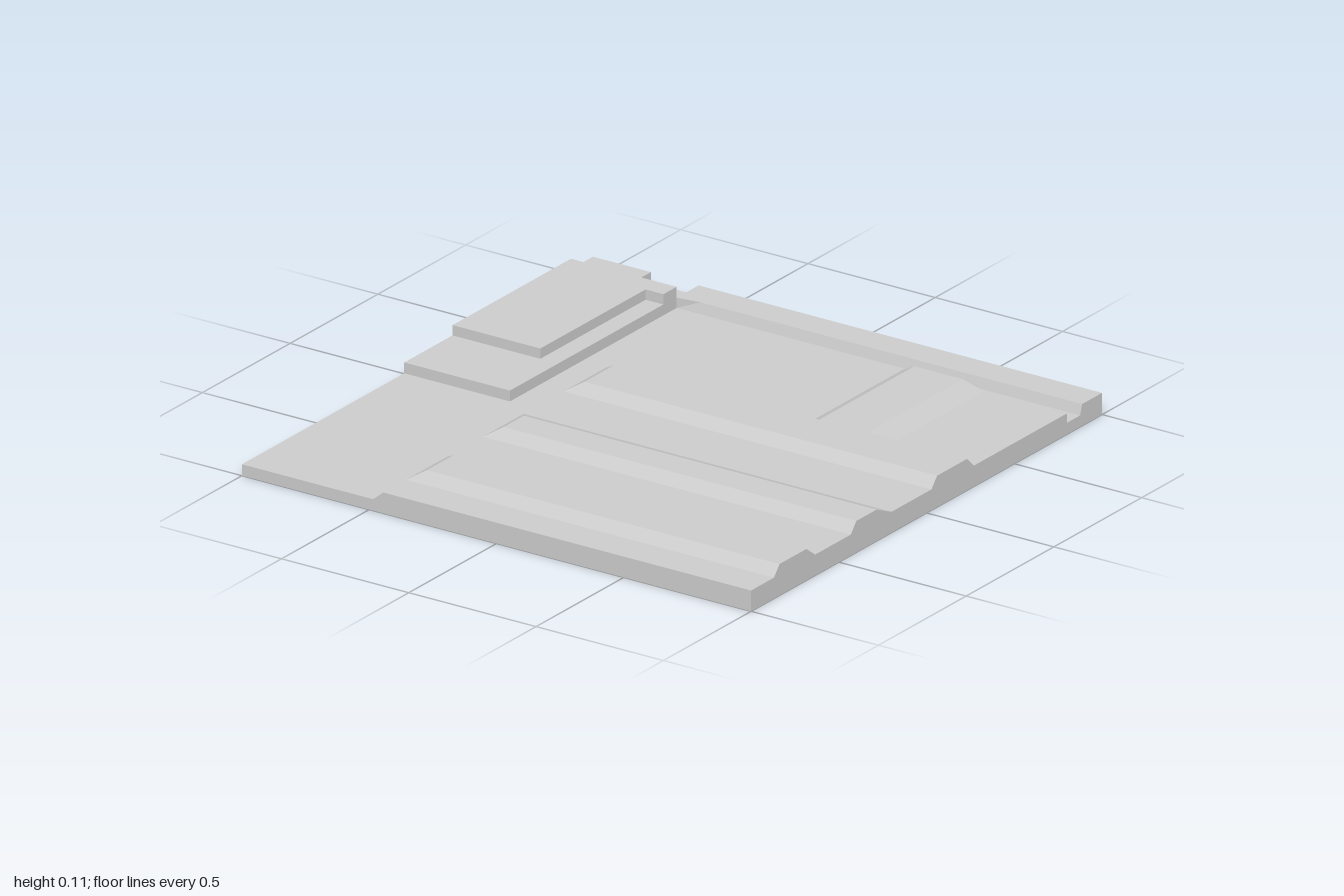
import * as THREE from 'three';

const material = new THREE.MeshStandardMaterial({ color: 0xcccccc, flatShading: true });

// Solid between a lower outline and a matching upper outline, both lists of [x, z].
function loft(name, lower, upper, y0, y1, closeBottom = false) {
  const area = THREE.ShapeUtils.area(lower.map(([x, z]) => new THREE.Vector2(x, -z)));
  const lo = area < 0 ? [...lower].reverse() : lower;
  const up = area < 0 ? [...upper].reverse() : upper;
  const pos = [];
  const put = (p, y) => pos.push(p[0], y, p[1]);
  const flat = (list) => list.map(([x, z]) => new THREE.Vector2(x, -z));

  for (const [a, b, c] of THREE.ShapeUtils.triangulateShape(flat(up), [])) {
    put(up[a], y1); put(up[b], y1); put(up[c], y1);
  }
  if (closeBottom) {
    for (const [a, b, c] of THREE.ShapeUtils.triangulateShape(flat(lo), [])) {
      put(lo[a], y0); put(lo[c], y0); put(lo[b], y0);
    }
  }
  for (let i = 0; i < lo.length; i++) {
    const j = (i + 1) % lo.length;
    put(lo[i], y0); put(lo[j], y0); put(up[j], y1);
    put(lo[i], y0); put(up[j], y1); put(up[i], y1);
  }
  const geometry = new THREE.BufferGeometry();
  geometry.setAttribute('position', new THREE.Float32BufferAttribute(pos, 3));
  geometry.computeVertexNormals();
  const mesh = new THREE.Mesh(geometry, material);
  mesh.name = name;
  return mesh;
}

const rect = (x0, x1, z0, z1) => [[x0, z0], [x0, z1], [x1, z1], [x1, z0]];

export function createModel() {
  const model = new THREE.Group();
  model.name = 'panel';
  const FLOOR = 0.04, DECK = 0.073, RIDGE = 0.11, PLATE = 0.078, TOP = 0.114;

  // Base slab
  const slab = rect(-1, 1, -1, 1);
  model.add(loft('baseSlab', slab, slab, 0, FLOOR, true));

  // Raised deck with a sloped edge along its -x side
  model.add(loft('deck', rect(-0.485, 1, -0.8, 1), rect(-0.445, 1, -0.8, 1), FLOOR, DECK));

  // Straight ridges: [back foot, back crest, front crest, front foot]
  const ridges = [[0.2, 0.285, 0.4, 0.432], [0.635, 0.685, 0.838, 0.87]];
  for (const [b0, b1, f1, f0] of ridges) {
    model.add(loft('ridge', rect(-0.445, 1, b0, f0), rect(-0.385, 1, b1, f1), DECK, RIDGE));
  }

  // Rear ridge with a branch running back across the deck
  model.add(loft('branchedRidge',
    [[-0.445, -0.27], [-0.445, -0.028], [1, -0.028], [1, -0.27],
      [0.675, -0.27], [0.675, -0.8], [0.355, -0.8], [0.355, -0.27]],
    [[-0.385, -0.23], [-0.385, -0.06], [1, -0.06], [1, -0.23],
      [0.61, -0.23], [0.61, -0.772], [0.42, -0.772], [0.42, -0.23]],
    DECK, RIDGE));

  // Strip behind the groove, with a narrow bevel on its inner edge
  model.add(loft('backStrip',
    [[-0.585, -1], [-0.585, -0.875], [-0.5, -0.875], [1, -0.875], [1, -1]],
    [[-0.585, -1], [-0.585, -0.875], [-0.5, -0.887], [1, -0.887], [1, -1]],
    FLOOR, 0.076));

  // Stepped corner plates
  const lower = rect(-1, -0.585, -0.875, 0.075);
  model.add(loft('lowerPlate', lower, lower, FLOOR, PLATE));
  const upper = [[-1, -0.875], [-1, -0.2], [-0.655, -0.2], [-0.655, -0.8], [-0.585, -0.8], [-0.585, -0.875]];
  model.add(loft('upperPlate', upper, upper, PLATE, TOP));
  const corner = rect(-1, -0.772, -1, -0.875);
  model.add(loft('cornerBlock', corner, corner, FLOOR, PLATE));

  return model;
}
